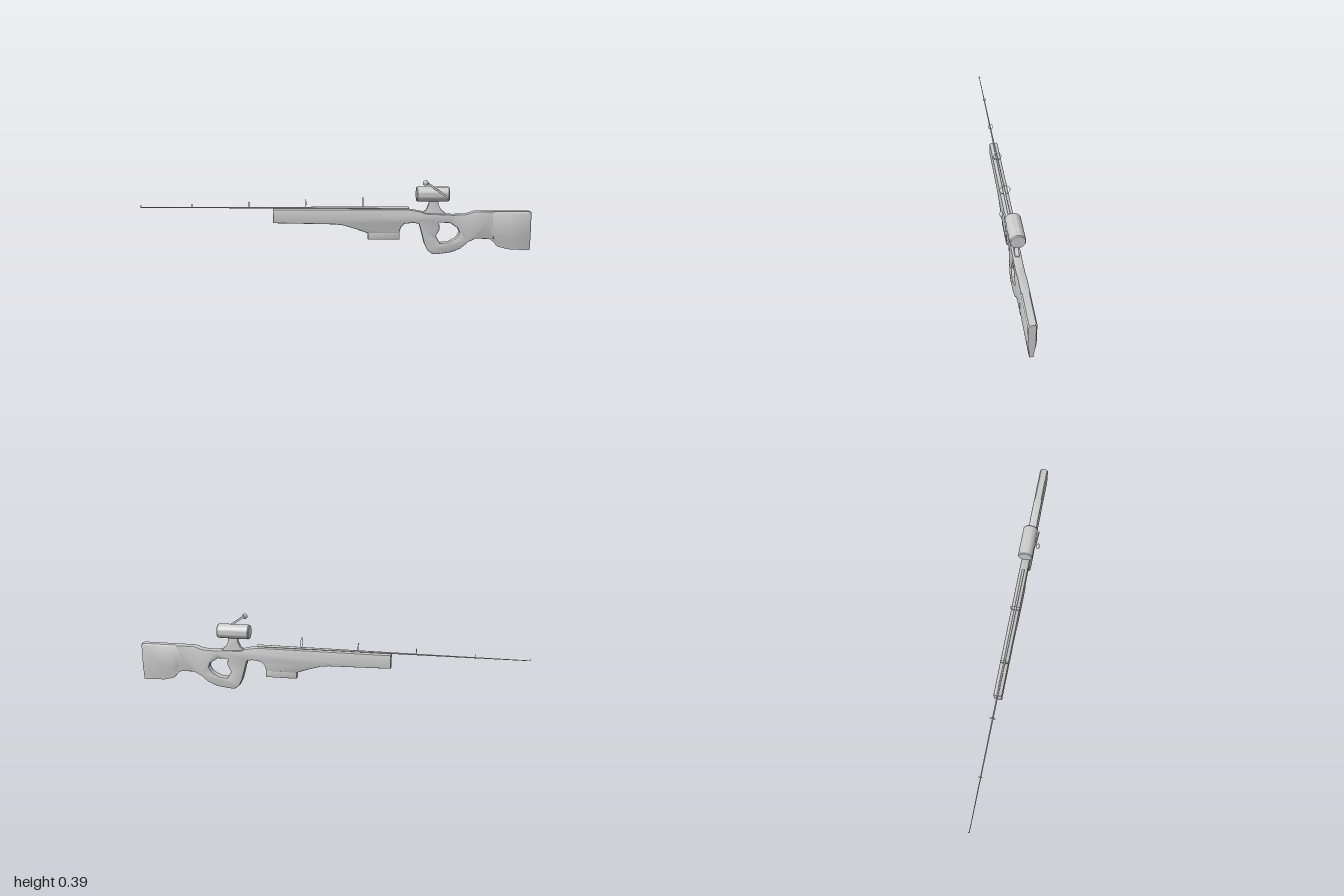
import * as THREE from 'three';
import { toCreasedNormals } from 'three/addons/utils/BufferGeometryUtils.js';

const MID = -0.0145; // centre plane of stock, rod and reel
const HALF = 0.0215; // half thickness of the stock
const ROD_Y = 0.244;

function createMesh(group, name, geometry, x = 0, y = 0, z = MID) {
  const mesh = new THREE.Mesh(geometry, new THREE.MeshStandardMaterial({ color: 0xcccccc }));
  mesh.name = name;
  mesh.position.set(x, y, z);
  group.add(mesh);
  return mesh;
}

const points = (list) => list.map(([x, y]) => new THREE.Vector2(x, y));

// Side outline given thickness along z, with edges rounded inward
function slab(outline, hole, thickness, bevel) {
  const shape = new THREE.Shape(points(outline));
  if (hole) shape.holes.push(new THREE.Path(points(hole)));
  const g = new THREE.ExtrudeGeometry(shape, {
    depth: thickness - 2 * bevel, bevelThickness: bevel, bevelSize: bevel,
    bevelOffset: -bevel, bevelSegments: 2, bevelEnabled: bevel > 0,
  });
  g.translate(0, 0, -thickness / 2 + bevel);
  return toCreasedNormals(g, 0.6);
}

// Skin over rings of [z, y] points placed along x, closed at both ends
function loft(sections) {
  const pos = [], index = [], n = sections[0].ring.length;
  sections.forEach(({ x, ring }) => ring.forEach(([z, y]) => pos.push(x, y, z)));
  for (let i = 0; i < sections.length - 1; i++) {
    for (let j = 0; j < n; j++) {
      const a = i * n + j, b = i * n + (j + 1) % n;
      index.push(a, b, b + n, a, b + n, a + n);
    }
  }
  const last = (sections.length - 1) * n;
  for (let j = 1; j < n - 1; j++) {
    index.push(0, j + 1, j, last, last + j, last + j + 1);
  }
  const g = new THREE.BufferGeometry();
  g.setAttribute('position', new THREE.Float32BufferAttribute(pos, 3));
  g.setIndex(index);
  return toCreasedNormals(g, 0.6);
}

function buttRing(bottom, top, bottomHalf, half) {
  const right = [
    [-bottomHalf, bottom], [-bottomHalf - 0.002, bottom + 0.022],
    [-half, Math.max(bottom + 0.03, 0.1)], [-half, top - 0.009], [-half + 0.006, top],
  ];
  return [...right, ...right.map(([z, y]) => [-z, y]).reverse()];
}

export function createModel() {
  const model = new THREE.Group();
  model.name = 'rifleStockFishingRod';

  // Fore-end, thumbhole grip and neck in one piece
  createMesh(model, 'stock', slab([
    [-0.32, 0.238], [-0.32, 0.166], [0, 0.16], [0.04, 0.155], [0.1, 0.137],
    [0.165, 0.114], [0.325, 0.114], [0.335, 0.145], [0.352, 0.163], [0.4, 0.169],
    [0.427, 0.163], [0.438, 0.125], [0.455, 0.06], [0.472, 0.025], [0.498, 0.005],
    [0.53, 0.005], [0.6, 0.016], [0.642, 0.035], [0.68, 0.068], [0.72, 0.087],
    [0.81, 0.083], [0.81, 0.227], [0.71, 0.227], [0.665, 0.212], [0.6, 0.21],
    [0.46, 0.216], [0.43, 0.228], [0.37, 0.238],
  ], [
    [0.53, 0.17], [0.585, 0.168], [0.625, 0.142], [0.635, 0.118], [0.62, 0.09],
    [0.58, 0.067], [0.537, 0.062], [0.515, 0.098], [0.533, 0.135],
  ], 2 * HALF, 0.006));

  // Butt, thinner towards its lower edge
  createMesh(model, 'butt', loft([
    { x: 0.79, ring: buttRing(0.084, 0.227, 0.0155, HALF) },
    { x: 0.805, ring: buttRing(0.074, 0.227, 0.015, HALF) },
    { x: 0.832, ring: buttRing(0.044, 0.227, 0.013, HALF) },
    { x: 0.885, ring: buttRing(0.03, 0.227, 0.011, HALF) },
    { x: 0.992, ring: buttRing(0.024, 0.227, 0.01, HALF) },
    { x: 1, ring: buttRing(0.027, 0.224, 0.008, HALF - 0.005) },
  ]));

  // Magazine under the fore-end
  createMesh(model, 'magazine', slab([
    [0.166, 0.125], [0.166, 0.081], [0.328, 0.081], [0.328, 0.125],
  ], null, 0.036, 0.003));

  // Tapered rod lying along the top of the stock
  const rod = new THREE.CylinderGeometry(0.0018, 0.0065, 1.37, 12).rotateZ(Math.PI / 2);
  createMesh(model, 'rod', rod, -0.315, ROD_Y);
  createMesh(model, 'rodEnd', new THREE.SphereGeometry(0.0065, 12, 8), 0.37, ROD_Y);

  // Line guides, smaller towards the tip
  const guides = [[0.14, 0.026], [-0.152, 0.02], [-0.444, 0.0135], [-0.736, 0.008], [-0.998, 0.004]];
  guides.forEach(([x, r]) => {
    const ring = new THREE.TorusGeometry(r, 0.0013, 6, 28).rotateY(Math.PI / 2);
    createMesh(model, 'lineGuide', ring, x, ROD_Y + 0.003 + r);
  });

  // Flared foot carrying the reel
  createMesh(model, 'reelFoot', slab([
    [0.44, 0.205], [0.565, 0.205], [0.562, 0.217], [0.54, 0.235], [0.526, 0.262],
    [0.526, 0.29], [0.475, 0.29], [0.475, 0.262], [0.464, 0.235], [0.44, 0.217],
  ], null, 0.021, 0.002));

  // Reel drum with softened rims
  const drum = new THREE.LatheGeometry(points([
    [0, -0.084], [0.034, -0.084], [0.0375, -0.079], [0.0375, 0.079], [0.034, 0.084], [0, 0.084],
  ]), 32).rotateZ(Math.PI / 2);
  createMesh(model, 'reelDrum', toCreasedNormals(drum, 0.6), 0.496, 0.315);

  // Crank on the front side: axle, slanted arm and knob
  const crank = new THREE.Group();
  crank.name = 'crank';
  model.add(crank);
  const peg = (r, length) => new THREE.CylinderGeometry(r, r, length, 12).rotateX(Math.PI / 2);
  createMesh(crank, 'crankAxle', peg(0.004, 0.02), 0.553, 0.316, 0.021);
  const arm = createMesh(crank, 'crankArm', new THREE.BoxGeometry(0.148, 0.01, 0.006), 0.512, 0.343, 0.0305);
  arm.rotation.z = -Math.atan2(0.085, 0.12);
  createMesh(crank, 'knobStem', peg(0.004, 0.012), 0.455, 0.381, 0.036);
  const knob = createMesh(crank, 'knob', new THREE.SphereGeometry(0.0145, 20, 14), 0.453, 0.381, 0.0445);
  knob.scale.z = 0.58;

  return model;
}
